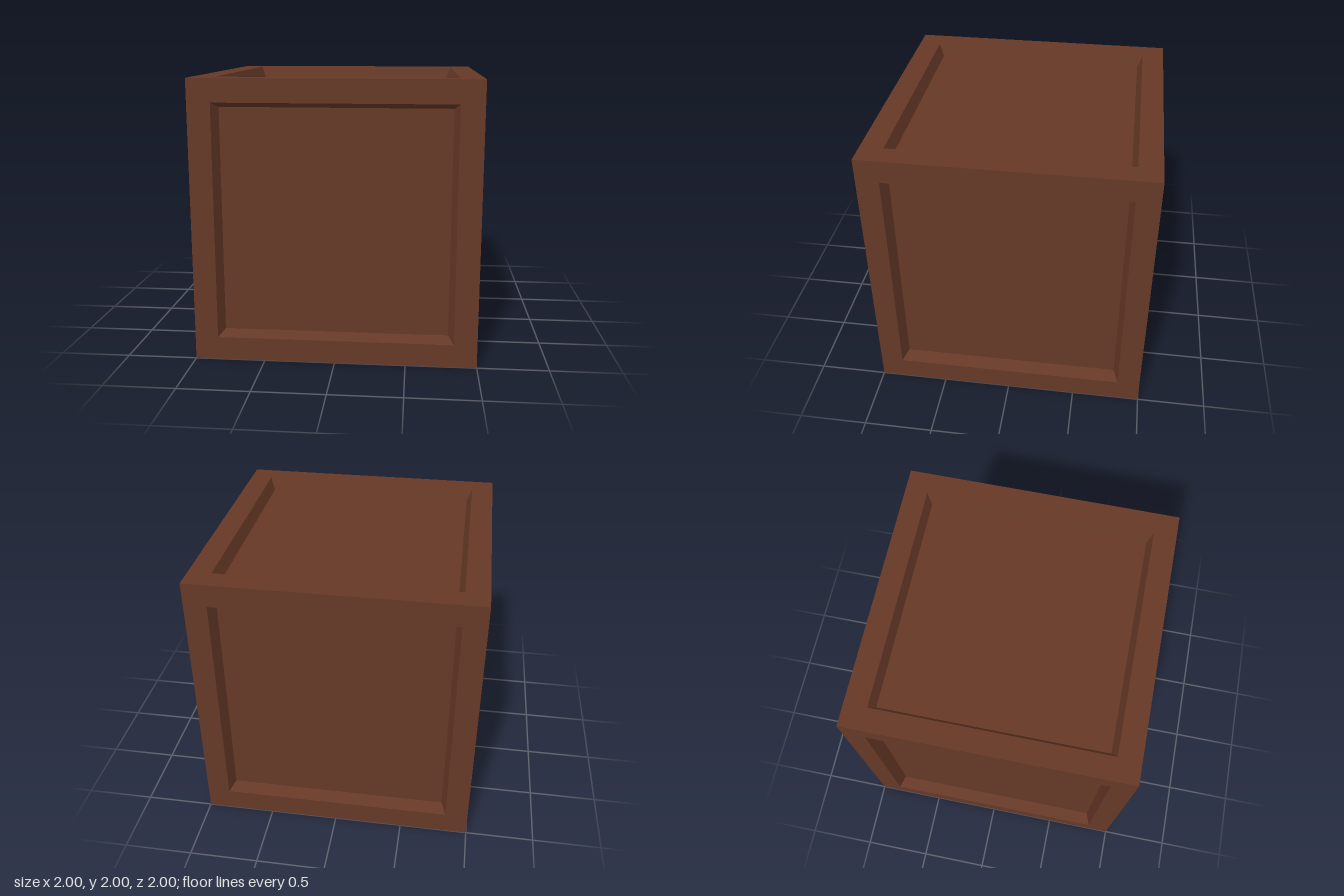
import * as THREE from 'three';

const HALF = 1;         // half the cube's edge
const OPENING = 0.836;  // half-width of the recess at the surface
const FLOOR = 0.8;      // half-width of the recess floor
const DEPTH = 0.09;     // how far the panel is sunk

export function createModel() {
  const model = new THREE.Group();
  model.name = 'panelledCrate';
  const wood = new THREE.MeshStandardMaterial({ color: 0x653826 });
  wood.name = 'dark brown wood';

  // Square border and sloping recess walls: a four-sided lathe, flat shaded
  const profile = [[HALF, HALF], [OPENING, HALF], [FLOOR, HALF - DEPTH]]
    .map(([r, y]) => new THREE.Vector2(r * Math.SQRT2, y));
  const frameGeometry = new THREE.LatheGeometry(profile, 4, Math.PI / 4).toNonIndexed();
  frameGeometry.computeVertexNormals();

  // Sunken panel
  const panelGeometry = new THREE.PlaneGeometry(FLOOR * 2, FLOOR * 2);
  panelGeometry.rotateX(-Math.PI / 2);
  panelGeometry.translate(0, HALF - DEPTH, 0);

  // The same side turned to all six directions
  const q = Math.PI / 2;
  const sides = {
    top: [0, 0], bottom: [2 * q, 0],
    front: [q, 0], back: [-q, 0],
    left: [0, -q], right: [0, q],
  };
  for (const [name, [rx, rz]] of Object.entries(sides)) {
    const side = new THREE.Group();
    side.name = name + 'Side';
    const frame = new THREE.Mesh(frameGeometry, wood);
    frame.name = name + 'Frame';
    const panel = new THREE.Mesh(panelGeometry, wood);
    panel.name = name + 'Panel';
    side.add(frame, panel);
    side.position.y = HALF;
    side.rotation.set(rx, 0, rz);
    model.add(side);
  }
  return model;
}
